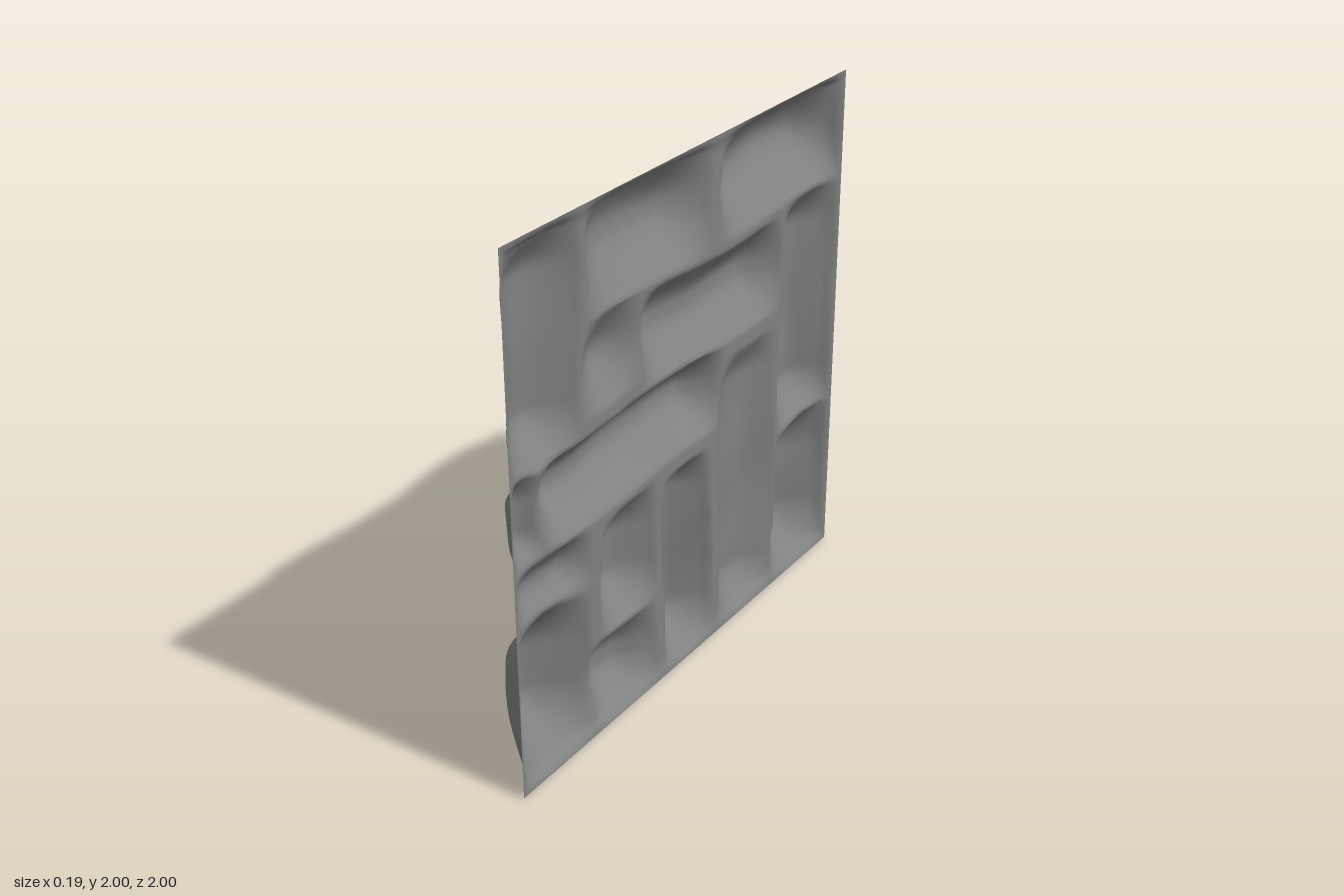
import * as THREE from 'three';

const BACK = 0.087; // x of the flat border; stones bulge toward -x

// Each stone: z0, z1, y0, y1, bulge depth, shoulder width, tilt along z, tilt along y
const STONES = [
  [0.61, 0.99, 1.19, 1.99, 0.115, 0.17, -0.01, 0],
  [-0.14, 0.58, 1.59, 1.99, 0.130, 0.19, 0, 0.02],
  [-0.99, -0.20, 1.60, 1.99, 0.150, 0.20, -0.025, 0.02],
  [0.25, 0.60, 1.26, 1.59, 0.090, 0.17, 0.01, 0],
  [-0.60, 0.27, 1.21, 1.56, 0.120, 0.16, 0, 0.01],
  [-0.98, -0.61, 0.65, 1.58, 0.120, 0.16, 0, -0.01],
  [-0.21, 0.83, 0.88, 1.20, 0.133, 0.15, 0, 0.01],
  [0.81, 0.995, 0.84, 1.20, 0.090, 0.12, -0.01, 0],
  [0.58, 0.99, 0.61, 0.86, 0.085, 0.12, 0, 0],
  [0.19, 0.52, 0.38, 0.84, 0.125, 0.16, 0, 0],
  [-0.15, 0.15, 0.02, 0.81, 0.155, 0.15, 0, 0],
  [-0.59, -0.20, 0.01, 1.14, 0.085, 0.15, 0, -0.01],
  [-0.98, -0.60, 0.01, 0.66, 0.180, 0.21, 0, 0.015],
  [0.58, 0.99, 0.01, 0.64, 0.185, 0.23, 0.02, 0.005],
  [0.21, 0.60, 0.01, 0.37, 0.120, 0.16, 0.02, 0.01],
];

// Cross profile along one axis: round shoulder blended with a soft foot
function profile(offset, half, width) {
  const t = Math.min(1, Math.max(0, (half - Math.abs(offset)) / Math.min(width, half)));
  return 0.5 * Math.sqrt(1 - (1 - t) ** 2) + 0.5 * t * t * (3 - 2 * t);
}

// Bulge of one pillow at (z, y)
function pillow([z0, z1, y0, y1, depth, width, tiltZ, tiltY], z, y) {
  const hz = (z1 - z0) / 2, hy = (y1 - y0) / 2;
  const u = z - (z0 + z1) / 2, v = y - (y0 + y1) / 2;
  const height = depth + tiltZ * u / hz + tiltY * v / hy;
  return height * profile(u, hz, width) * profile(v, hy, width);
}

// Total relief: warped, softly merged pillows over a mortar bed, flat at the border
function relief(z, y) {
  const edge = Math.min(1 - Math.abs(z), y, 2 - y);
  const fade = Math.min(1, edge / 0.06);
  const wz = z + fade * 0.012 * Math.sin(7 * y + 3 * z);
  const wy = y + fade * 0.012 * Math.sin(6 * z - 2 * y);
  const bed = 0.012 * fade;
  const bulges = STONES.map((stone) => pillow(stone, wz, wy));
  const uneven = 1 + 0.06 * Math.sin(11 * z + 4 * y) * Math.sin(9 * y - 5 * z);
  return Math.hypot(bed, ...bulges) * uneven * Math.min(1, fade * 1.5);
}

export function createModel() {
  const group = new THREE.Group();
  group.name = 'stoneWallPanel';

  // Sheet facing -x, pushed out by the relief
  const geometry = new THREE.PlaneGeometry(2, 2, 150, 150);
  geometry.rotateY(-Math.PI / 2);
  geometry.translate(BACK, 1, 0);
  const p = geometry.attributes.position;
  for (let i = 0; i < p.count; i++) p.setX(i, BACK - relief(p.getZ(i), p.getY(i)));
  geometry.computeVertexNormals();

  const wall = new THREE.Mesh(
    geometry,
    new THREE.MeshStandardMaterial({ color: 0x808080, side: THREE.DoubleSide })
  );
  wall.name = 'stoneRelief';
  group.add(wall);
  return group;
}
